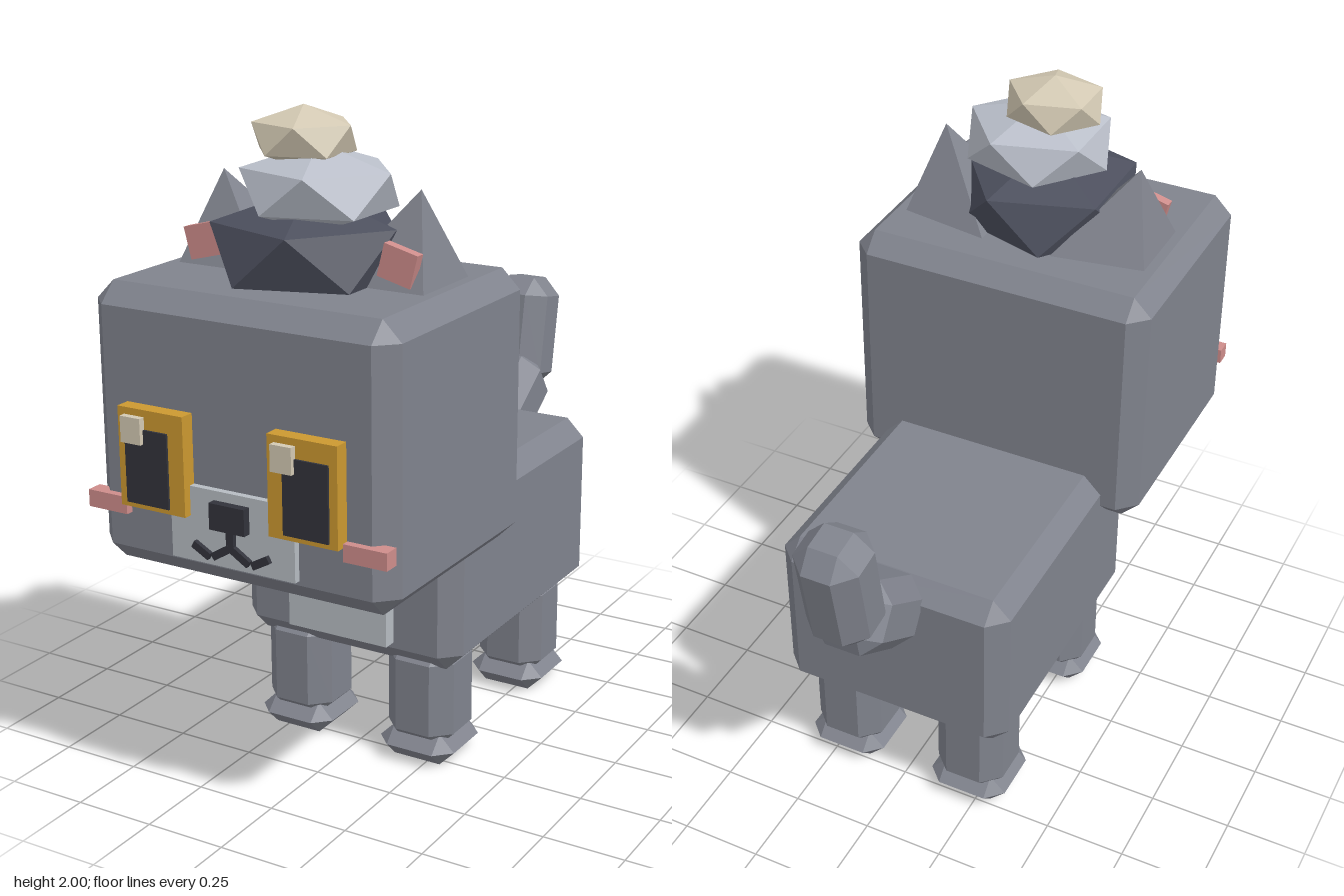
import * as THREE from 'three';
import { ConvexGeometry } from 'three/addons/geometries/ConvexGeometry.js';

const material = (name, color) => {
  const m = new THREE.MeshStandardMaterial({ color });
  m.name = name;
  return m;
};

export function createModel() {
  const fur = material('grey fur', 0x80838d);
  const pale = material('pale fur', 0xb6bcc2);
  const gold = material('gold iris', 0xcb9830);
  const black = material('near black', 0x32333b);
  const pink = material('pink', 0xce8d8b);
  const cream = material('cream', 0xd3c9b3);
  const darkStone = material('dark stone', 0x4c4f5d);
  const lightStone = material('light stone', 0xbabfca);

  const model = new THREE.Group();
  const add = (name, geometry, mat, x = 0, y = 0, z = 0) => {
    const mesh = new THREE.Mesh(geometry, mat);
    mesh.name = name;
    mesh.position.set(x, y, z);
    model.add(mesh);
    return mesh;
  };

  // Box with every edge cut at 45 degrees
  const chamferBox = (w, h, d, c) => {
    const [a, b, e] = [w / 2, h / 2, d / 2];
    const pts = [];
    for (const i of [-1, 1]) for (const j of [-1, 1]) for (const k of [-1, 1]) {
      pts.push(new THREE.Vector3(i * a, j * (b - c), k * (e - c)));
      pts.push(new THREE.Vector3(i * (a - c), j * b, k * (e - c)));
      pts.push(new THREE.Vector3(i * (a - c), j * (b - c), k * e));
    }
    return new ConvexGeometry(pts);
  };

  // Plain box given by its limits
  const block = (name, mat, x0, x1, y0, y1, z0, z1) =>
    add(name, new THREE.BoxGeometry(x1 - x0, y1 - y0, z1 - z0), mat,
      (x0 + x1) / 2, (y0 + y1) / 2, (z0 + z1) / 2);

  // Faceted stone: two staggered rings of five with a point above and below
  const stone = (rx, rz, ring, tip) => {
    const pts = [new THREE.Vector3(0, tip, 0), new THREE.Vector3(0, -tip, 0)];
    for (let i = 0; i < 10; i++) {
      const t = (i * Math.PI) / 5;
      pts.push(new THREE.Vector3(rx * Math.cos(t), i % 2 ? -ring : ring, rz * Math.sin(t)));
    }
    return new ConvexGeometry(pts);
  };

  // Body, chest and head
  add('body', chamferBox(0.75, 0.56, 0.92, 0.057), fur, 0, 0.605, -0.12);
  block('chestPatch', pale, -0.17, 0.17, 0.4, 0.76, 0.33, 0.382);
  add('head', chamferBox(0.965, 0.805, 0.77, 0.057), fur, 0, 1.1325, 0.5);

  // Legs and paws
  for (const x of [-0.215, 0.215]) for (const z of [0.195, -0.405]) {
    const end = z > 0 ? 'front' : 'back';
    add(end + 'Leg', chamferBox(0.225, 0.34, 0.225, 0.055), fur, x, 0.215, z);
    add(end + 'Paw', chamferBox(0.255, 0.1, 0.255, 0.05), fur, x, 0.05, z + 0.003);
  }

  // Tail
  add('tailBase', chamferBox(0.226, 0.224, 0.335, 0.057), fur, 0, 0.853, -0.68).rotation.x = 0.6;
  add('tailTip', chamferBox(0.205, 0.375, 0.205, 0.057), fur, 0, 1.063, -0.827).rotation.x = -0.175;

  // Ears, eyes and cheeks on both sides
  for (const s of [-1, 1]) {
    add('ear', new ConvexGeometry([
      [0.32, 1.79, 0.445],
      [0.4, 1.52, 0.31], [0.4, 1.52, 0.575],
      [0.1, 1.52, 0.26], [0.1, 1.52, 0.575],
    ].map(([x, y, z]) => new THREE.Vector3(s * x, y, z))), fur);
    add('innerEar', new THREE.BoxGeometry(0.105, 0.095, 0.03), pink,
      s * 0.315, 1.605, 0.552).rotation.z = -s * 0.25;

    const eye = s * 0.2425;
    block('iris', gold, eye - 0.1075, eye + 0.1075, 0.93, 1.215, 0.87, 0.93);
    const pupil = s * 0.255;
    block('pupil', black, pupil - 0.07, pupil + 0.07, 0.945, 1.16, 0.928, 0.937);
    const glint = s * 0.2425 - 0.0525;
    block('eyeGlint', cream, glint - 0.033, glint + 0.033, 1.12, 1.195, 0.928, 0.95);

    const cheek = s * 0.417;
    block('cheek', pink, cheek - 0.066, cheek + 0.066, 0.893, 0.943, 0.86, 0.908);

    // Mouth strokes
    add('mouthInner', new THREE.BoxGeometry(0.066, 0.022, 0.025), black,
      s * 0.03, 0.845, 0.906).rotation.z = -s * 0.55;
    add('mouthOuter', new THREE.BoxGeometry(0.06, 0.022, 0.025), black,
      s * 0.096, 0.84, 0.906).rotation.z = s * 0.5;
  }

  // Muzzle and nose
  block('muzzle', pale, -0.2, 0.2, 0.8, 1.015, 0.86, 0.905);
  block('nose', black, -0.057, 0.057, 0.912, 0.988, 0.89, 0.93);
  block('mouthStem', black, -0.012, 0.012, 0.855, 0.915, 0.89, 0.918);

  // Stones balanced on the head
  add('lowerStone', stone(0.275, 0.268, 0.075, 0.165), darkStone, 0, 1.61, 0.5);
  add('middleStone', stone(0.224, 0.203, 0.055, 0.122), lightStone, 0.037, 1.78, 0.505);
  add('topStone', stone(0.148, 0.132, 0.04, 0.087), cream, -0.013, 1.913, 0.5);

  return model;
}
